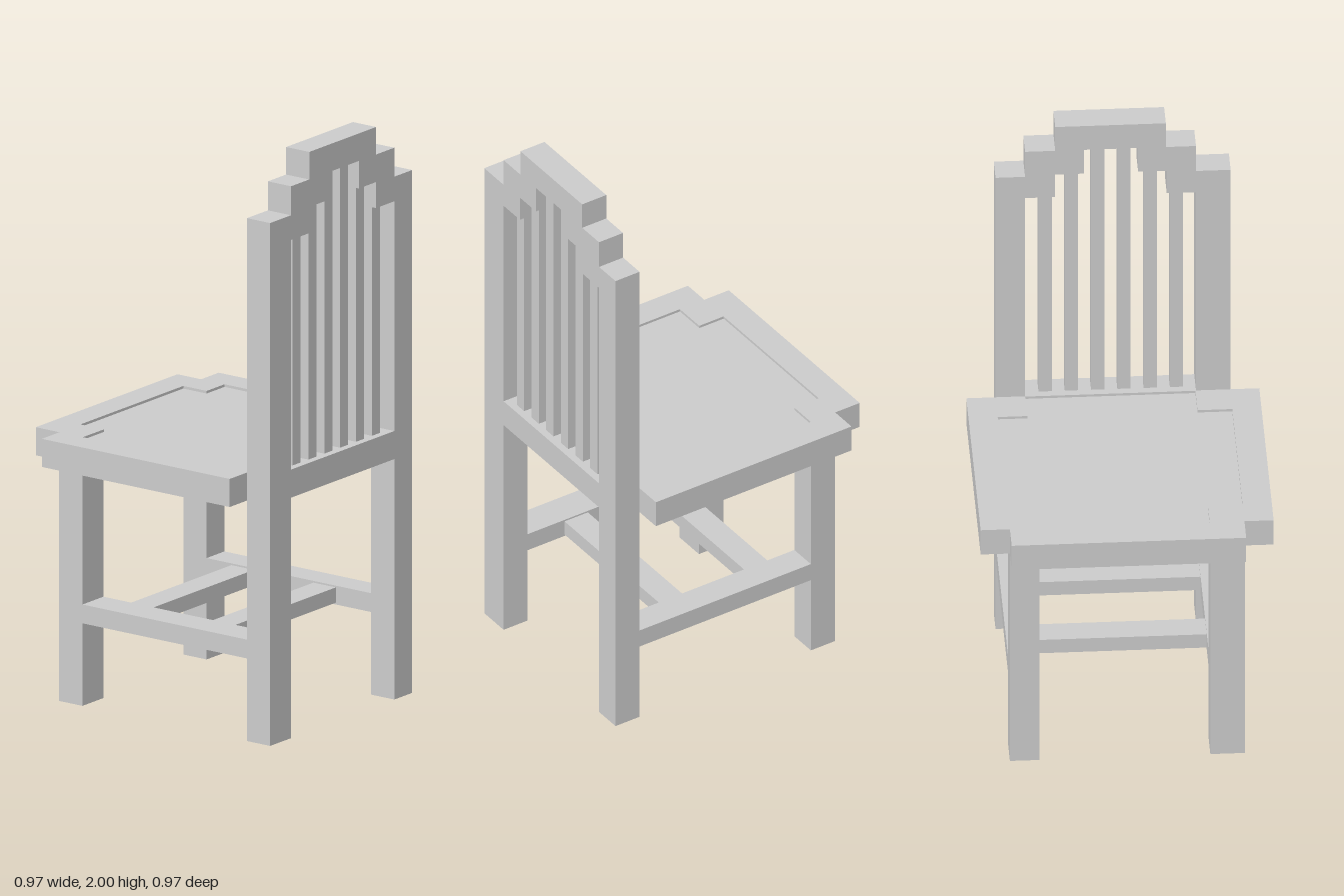
import * as THREE from 'three';

const material = new THREE.MeshStandardMaterial({ color: 0xcccccc, flatShading: true });

// Shared edges: back plane of the chair is at +x, the seat opens towards -x.
const BACK = [0.39, 0.486];
const FRONT = [-0.39, -0.293];
const SIDES = [['left', 0.275, 0.39], ['right', -0.39, -0.292]];
const SEAT_BOTTOM = 0.83, SEAT_TOP = 0.927;

export function createModel() {
  const chair = new THREE.Group();
  chair.name = 'chair';

  const add = (name, geometry) => {
    const mesh = new THREE.Mesh(geometry, material);
    mesh.name = name;
    chair.add(mesh);
    return mesh;
  };

  // Box given by its extents along each axis
  const box = (name, [x0, x1], [y0, y1], [z0, z1]) =>
    add(name, new THREE.BoxGeometry(x1 - x0, y1 - y0, z1 - z0))
      .position.set((x0 + x1) / 2, (y0 + y1) / 2, (z0 + z1) / 2);

  const points = (list) => list.map(([a, b]) => new THREE.Vector2(a, b));
  const extrude = (shape, depth) =>
    new THREE.ExtrudeGeometry(shape, { depth, bevelEnabled: false });

  // Horizontal slab: outline in (x, z), from its top downwards
  const slab = (name, shape, bottom, top) =>
    add(name, extrude(shape, top - bottom).rotateX(Math.PI / 2).translate(0, top, 0));

  // Legs, back posts and side stretchers
  for (const [side, z0, z1] of SIDES) {
    box(side + 'FrontLeg', FRONT, [0, SEAT_BOTTOM], [z0, z1]);
    box(side + 'BackPost', BACK, [0, 1.805], [z0, z1]);
    box(side + 'Stretcher', [FRONT[1], BACK[0]], [0.285, 0.35], [z0, z1]);
  }

  // Cross stretchers between the side stretchers
  for (const x of [-0.19, 0.15]) {
    box('crossStretcher', [x, x + 0.093], [0.291, 0.344], [-0.292, 0.275]);
  }

  // Seat frame with notched corners, and the notched panel set into it
  const panelOutline = [
    [-0.39, -0.292], [-0.293, -0.292], [-0.293, -0.39], [0.273, -0.39],
    [0.273, -0.292], [0.39, -0.292], [0.39, 0.273], [0.273, 0.273],
    [0.273, 0.388], [-0.293, 0.388], [-0.293, 0.273], [-0.39, 0.273],
  ];
  const frame = new THREE.Shape(points([
    [-0.488, -0.39], [-0.39, -0.39], [-0.39, -0.487], [0.39, -0.487],
    [0.39, 0.485], [-0.39, 0.485], [-0.39, 0.388], [-0.488, 0.388],
  ]));
  // The hole stops just short of the rear rail so that the frame stays closed
  frame.holes.push(new THREE.Path(points(panelOutline.map(([x, z]) => [Math.min(x, 0.388), z]))));
  slab('seatFrame', frame, SEAT_BOTTOM, SEAT_TOP);
  slab('seatPanel', new THREE.Shape(points(panelOutline)), 0.823, 0.918);
  box('rearRail', BACK, [SEAT_BOTTOM, SEAT_TOP], [-0.292, 0.275]);

  // Stepped crest rail, outline in (z, y)
  const crest = new THREE.Shape(points([
    [-0.292, 1.72], [-0.192, 1.72], [-0.192, 1.81], [-0.097, 1.81],
    [-0.097, 1.905], [0.083, 1.905], [0.083, 1.81], [0.178, 1.81],
    [0.178, 1.72], [0.275, 1.72], [0.275, 1.905], [0.175, 1.905],
    [0.175, 2], [-0.192, 2], [-0.192, 1.905], [-0.292, 1.905],
  ]));
  add('crestRail', extrude(crest, BACK[1] - BACK[0])
    .rotateY(-Math.PI / 2).translate(BACK[1], 0, 0));

  // Six slats, each reaching the crest step above it
  const slatTops = [1.73, 1.82, 1.91, 1.91, 1.82, 1.73];
  slatTops.forEach((top, i) => {
    const z = -0.224 + i * 0.0872;
    box('slat', [0.415, 0.461], [SEAT_TOP, top], [z - 0.022, z + 0.022]);
  });

  return chair;
}
